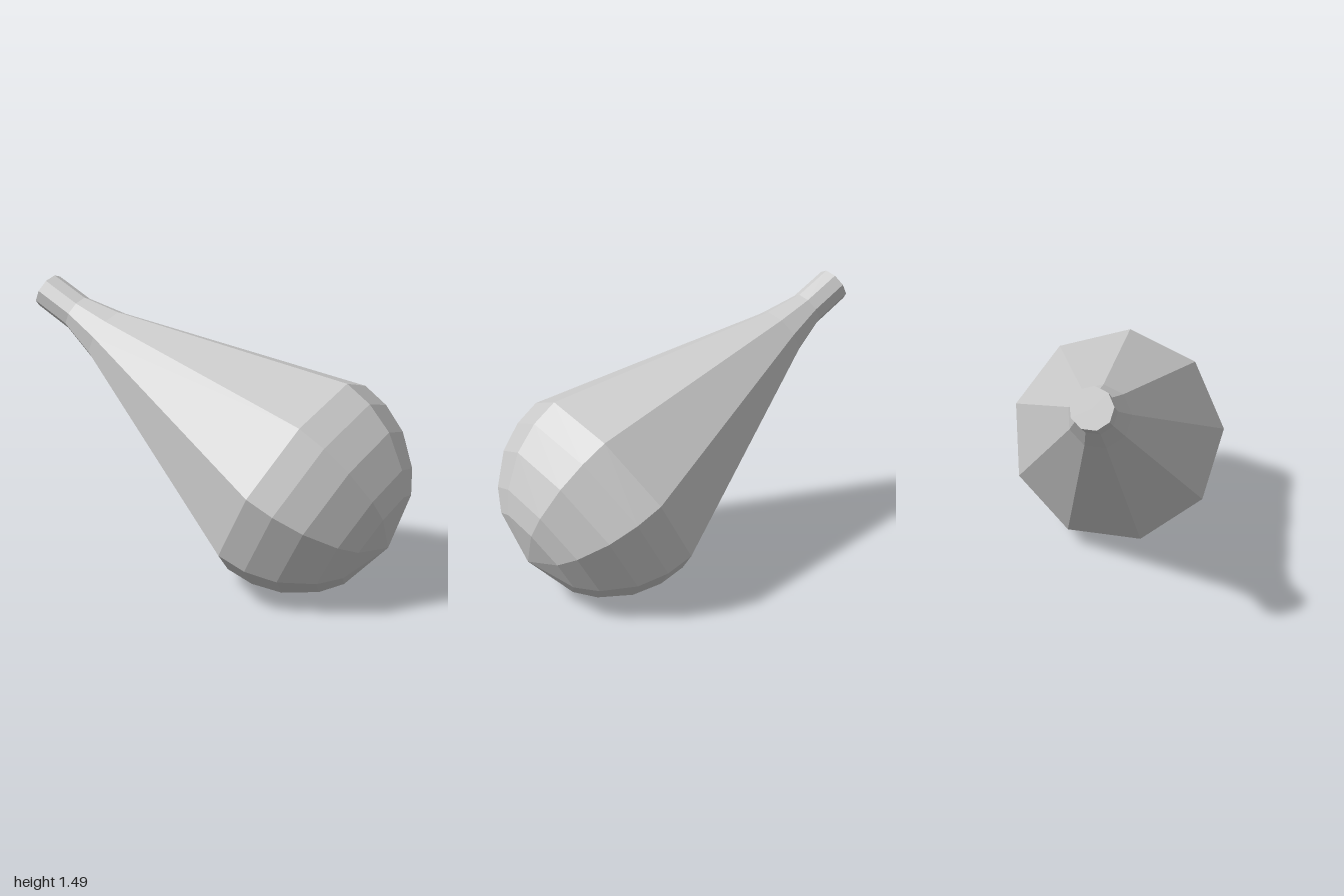
import * as THREE from 'three';

const SIDES = 9;
const R = 0.59; // radius of the rounded end

export function createModel() {
  const group = new THREE.Group();
  const material = new THREE.MeshStandardMaterial({ color: 0xcccccc, flatShading: true });

  // Tilted frame: the long axis runs from the rounded tip up and back to the neck
  const axis = new THREE.Vector3(-0.273, 0.502, -0.821).normalize();
  const side = new THREE.Vector3().crossVectors(axis, new THREE.Vector3(0.086, 0.863, 0.498)).normalize();
  const corner = new THREE.Vector3().crossVectors(side, axis);
  const frame = new THREE.Matrix4().makeBasis(side, axis, corner).setPosition(0.14, 0.28, 0.9);

  // Nine-sided turned part from [radius, distance along the axis] pairs
  const turned = (name, profile) => {
    const points = profile.map(([r, t]) => new THREE.Vector2(r, t));
    const geometry = new THREE.LatheGeometry(points, SIDES).applyMatrix4(frame);
    const mesh = new THREE.Mesh(geometry, material);
    mesh.name = name;
    group.add(mesh);
  };

  // Half-sphere end, then a long straight taper
  const dome = [0, 0.07, 0.147, 0.296, 0.446, R].map((t) => [Math.sqrt(R * R - (R - t) ** 2), t]);
  turned('bulb', [...dome, [0.148, 1.83]]);

  // Slim neck closed by a flat cap
  turned('neck', [[0.148, 1.83], [0.097, 2.04], [0.096, 2.253], [0, 2.253]]);

  // Stand on the ground, centred
  const box = new THREE.Box3().setFromObject(group, true);
  const centre = box.getCenter(new THREE.Vector3());
  group.children.forEach((m) => m.geometry.translate(-centre.x, -box.min.y, -centre.z));
  return group;
}
